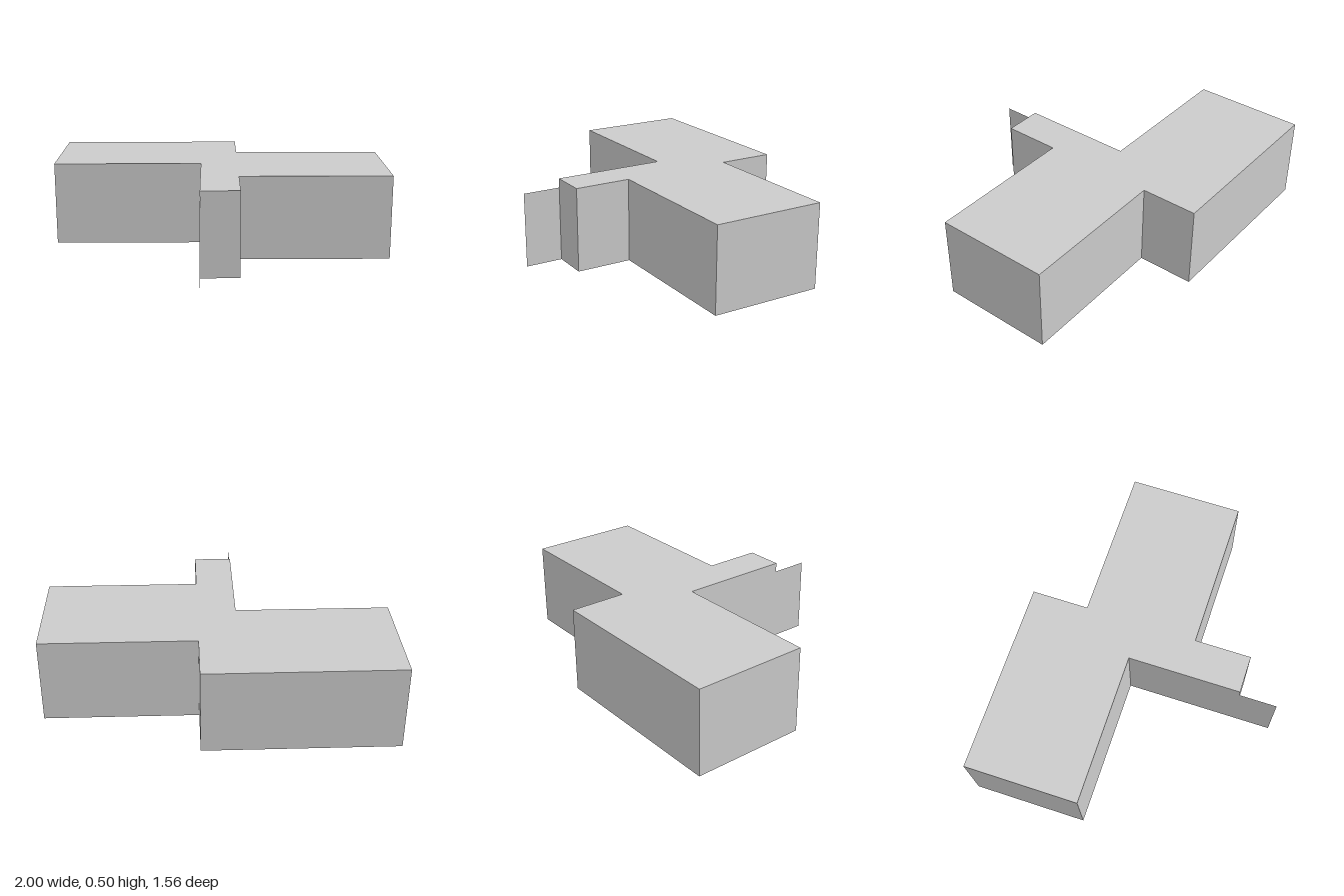
import * as THREE from 'three';

const HEIGHT = 0.5;    // top of the roof
const WALL_TOP = 0.445; // walls end here, the roof fascia starts
const FLOOR = 0.055;   // raised floor above the open skirt

// Footprint corners as [x, z]
const footprint = [
  [-1, -0.778], [0.111, -0.778], [0.111, -0.444], [1, -0.444], [1, 0.222],
  [0.111, 0.222], [0.111, 0.556], [-0.111, 0.556], [-0.111, -0.111], [-1, -0.111],
];
// The roof and floor are split into two plates along the hall
const westPlate = [[-1, -0.778], [-0.113, -0.778], [-0.113, -0.111], [-1, -0.111]];
const eastPlate = [[-0.113, -0.778], ...footprint.slice(1, 8), [-0.111, -0.111], [-0.113, -0.111]];

export function createModel() {
  const model = new THREE.Group();
  const material = new THREE.MeshStandardMaterial({
    color: 0xcccccc, flatShading: true, side: THREE.DoubleSide,
  });

  const add = (parent, name, geometry) => {
    const mesh = new THREE.Mesh(geometry, material);
    mesh.name = name;
    parent.add(mesh);
    return mesh;
  };

  // Upright sheet between two ground points
  function addSheet(parent, name, [x1, z1], [x2, z2], bottom, top) {
    const length = Math.hypot(x2 - x1, z2 - z1);
    const sheet = add(parent, name, new THREE.PlaneGeometry(length, top - bottom));
    sheet.position.set((x1 + x2) / 2, (bottom + top) / 2, (z1 + z2) / 2);
    // Clockwise footprint seen from above: turn the sheet's front outward
    sheet.rotation.y = Math.atan2(-(z2 - z1), x2 - x1) + Math.PI;
  }

  // Horizontal plate from an outline, facing up
  function addPlate(name, outline, y) {
    const shape = new THREE.Shape(outline.map(([x, z]) => new THREE.Vector2(x, -z)));
    const geometry = new THREE.ShapeGeometry(shape);
    geometry.rotateX(-Math.PI / 2);
    add(model, name, geometry).position.y = y;
  }

  // Outer walls with the roof fascia above them
  const walls = new THREE.Group();
  walls.name = 'outerWalls';
  const fascia = new THREE.Group();
  fascia.name = 'roofFascia';
  footprint.forEach((start, i) => {
    const end = footprint[(i + 1) % footprint.length];
    // The hall's side wall runs on past the front corner as a free screen
    const from = i === 7 ? [-0.111, 0.778] : start;
    addSheet(walls, i === 7 ? 'screenWall' : 'wall', from, end, 0, WALL_TOP);
    addSheet(fascia, 'fasciaBoard', start, end, WALL_TOP, HEIGHT);
  });
  model.add(walls, fascia);

  // Roof and floor plates
  for (const [side, outline] of [['west', westPlate], ['east', eastPlate]]) {
    addPlate(side + 'Roof', outline, HEIGHT);
    addPlate(side + 'Floor', outline, FLOOR);
  }

  return model;
}
